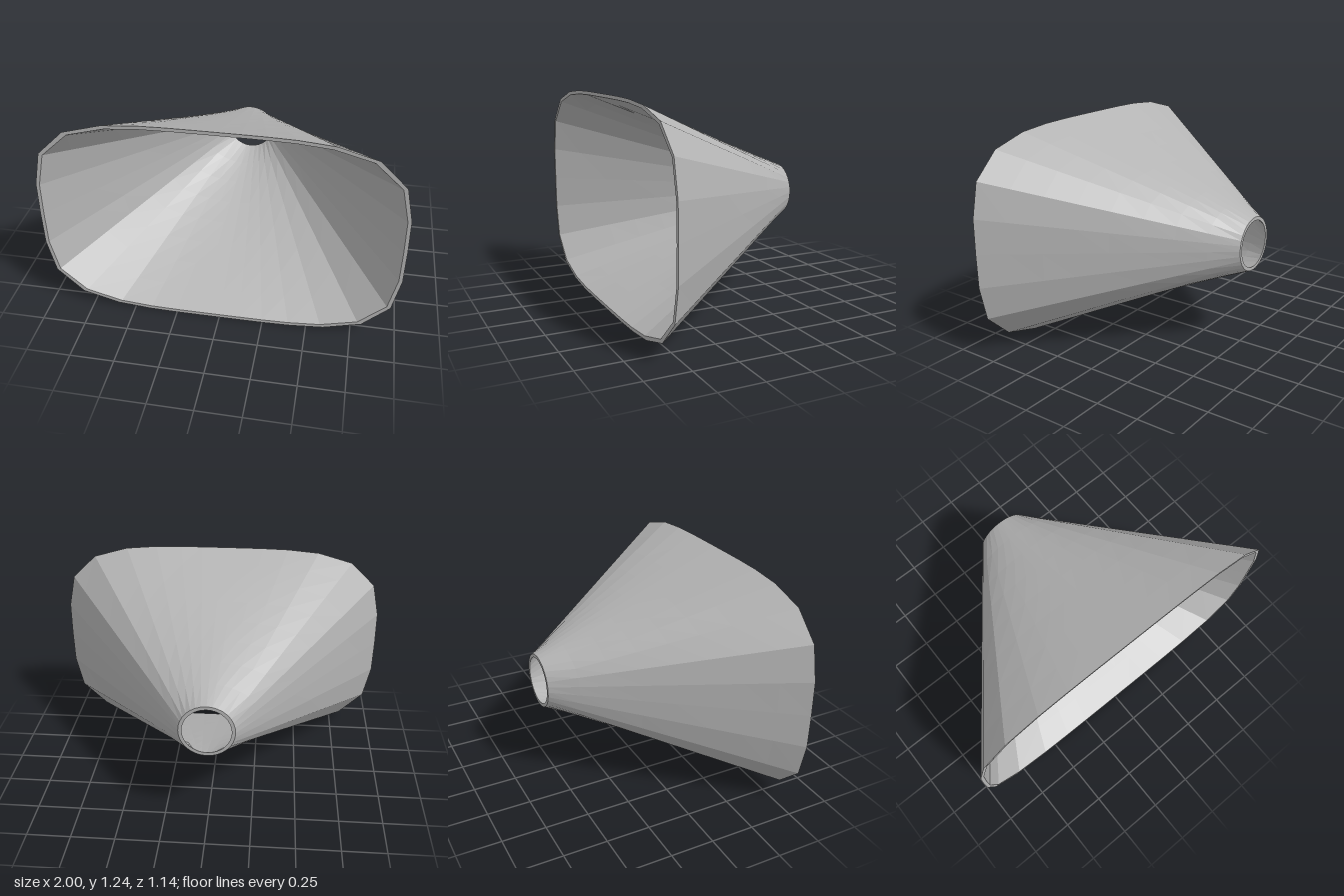
import * as THREE from 'three';

const SIDES = 32, STEPS = 8, CENTRE_Y = 0.62, HALF_DEPTH = 0.57;

// Radius of a rounded-rectangle (power 4) outline at a polar angle
const mouthRadius = (angle, a, b) =>
  Math.pow((Math.cos(angle) / a) ** 4 + (Math.sin(angle) / b) ** 4, -0.25);

// Cross-section blended from the round throat (t = 0) to the wide mouth (t = 1)
function ring(t, throat, a, b) {
  return Array.from({ length: SIDES }, (_, j) => {
    const angle = (j / SIDES) * Math.PI * 2;
    const r = THREE.MathUtils.lerp(throat, mouthRadius(angle, a, b), t);
    return [r * Math.cos(angle), CENTRE_Y + r * Math.sin(angle), HALF_DEPTH * (2 * t - 1)];
  });
}

// Skin a run of rings with flat-shaded quads
function loft(rings) {
  const positions = [];
  for (let i = 0; i < rings.length - 1; i++) {
    for (let j = 0; j < SIDES; j++) {
      const k = (j + 1) % SIDES;
      const a = rings[i][j], d = rings[i][k], c = rings[i + 1][k], b = rings[i + 1][j];
      positions.push(...a, ...d, ...c, ...a, ...c, ...b);
    }
  }
  const geometry = new THREE.BufferGeometry();
  geometry.setAttribute('position', new THREE.Float32BufferAttribute(positions, 3));
  geometry.computeVertexNormals();
  return geometry;
}

export function createModel() {
  const group = new THREE.Group();
  group.name = 'horn';
  const grey = new THREE.MeshStandardMaterial({ color: 0xb4b4b4 });
  grey.name = 'plain grey';

  const outer = [], inner = [];
  for (let i = 0; i <= STEPS; i++) {
    outer.push(ring(i / STEPS, 0.155, 1, 0.62));
    inner.push(ring(1 - i / STEPS, 0.135, 0.98, 0.6));
  }

  // Outer wall, inner wall and the two thin rims joining them
  const parts = {
    outerWall: outer,
    mouthRim: [outer[STEPS], inner[0]],
    innerWall: inner,
    throatRim: [inner[STEPS], outer[0]],
  };
  for (const [name, rings] of Object.entries(parts)) {
    const mesh = new THREE.Mesh(loft(rings), grey);
    mesh.name = name;
    group.add(mesh);
  }
  return group;
}
